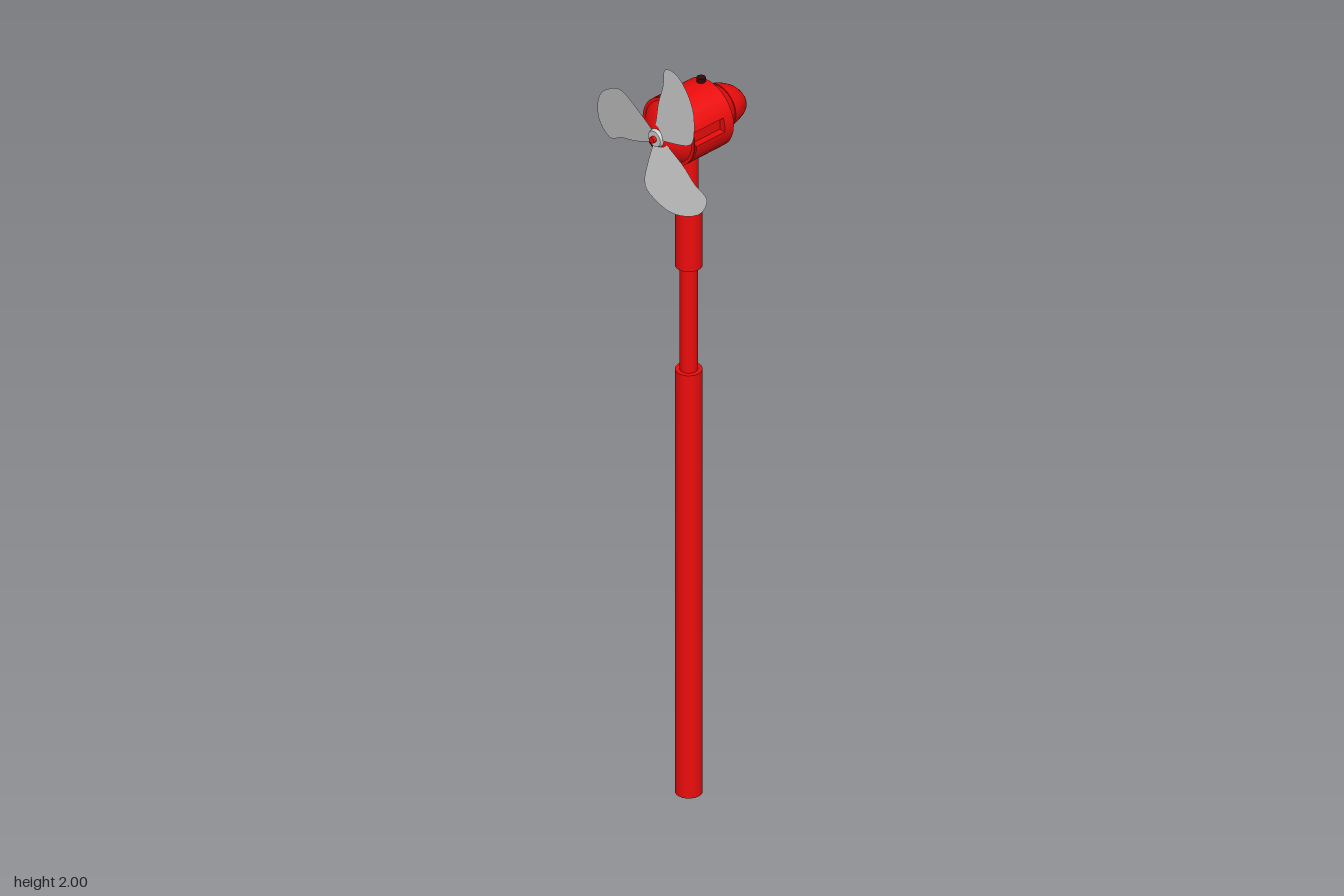
import * as THREE from 'three';
import { toCreasedNormals } from 'three/addons/utils/BufferGeometryUtils.js';

const RED = 0xee0c0c;
const HEAD_Y = 1.805;

export function createModel() {
  const model = new THREE.Group();
  model.name = 'windTurbine';
  const red = new THREE.MeshStandardMaterial({ color: RED });
  const dark = new THREE.MeshStandardMaterial({ color: 0x330808 });
  const grey = new THREE.MeshStandardMaterial({ color: 0xcccccc, side: THREE.DoubleSide });

  const add = (parent, name, geometry, material) => {
    const mesh = new THREE.Mesh(geometry, material);
    mesh.name = name;
    parent.add(mesh);
    return mesh;
  };

  // Everything shares the mast axis in z
  const mast = new THREE.Group();
  mast.name = 'mast';
  mast.position.set(-0.03, 0, 0.022);
  model.add(mast);

  // Mast sections: name, radius, bottom, top
  for (const [name, r, y0, y1] of [
    ['lowerPole', 0.032, 0, 1.14],
    ['middlePole', 0.021, 1.13, 1.43],
    ['collar', 0.032, 1.42, 1.58],
    ['upperPole', 0.023, 1.57, 1.74],
  ]) {
    add(mast, name, new THREE.CylinderGeometry(r, r, y1 - y0, 20), red).position.y = (y0 + y1) / 2;
  }

  // Turbine head, with its axis along x
  const head = new THREE.Group();
  head.name = 'head';
  head.position.set(0, HEAD_Y, 0.02);
  model.add(head);

  // Turn a profile of [x, radius] around the x axis
  const turned = (profile) => {
    const points = profile.map(([x, r]) => new THREE.Vector2(r, x));
    return toCreasedNormals(new THREE.LatheGeometry(points, 32).rotateZ(-Math.PI / 2), 0.6);
  };

  add(head, 'frontDome', turned([
    [-0.13, 0], [-0.13, 0.024], [-0.12, 0.046], [-0.107, 0.065], [-0.093, 0.077],
    [-0.093, 0.085], [-0.09, 0.085], [-0.09, 0.077], [-0.084, 0.077],
  ]), red);

  // Main housing with a lengthwise slot cut in its front side
  const R = 0.085, slotTop = 0.03, slotBottom = -0.005, slotDepth = 0.068;
  const section = new THREE.Shape();
  section.absarc(0, 0, R, Math.PI + Math.asin(-slotBottom / R), 3 * Math.PI - Math.asin(slotTop / R), false);
  section.lineTo(-slotDepth, slotTop);
  section.lineTo(-slotDepth, slotBottom);
  section.closePath();
  const housing = new THREE.ExtrudeGeometry(section, { depth: 0.09, bevelEnabled: false, curveSegments: 32 });
  housing.rotateY(Math.PI / 2).translate(-0.085, 0, 0);
  add(head, 'slottedHousing', toCreasedNormals(housing, 0.6), red);

  add(head, 'rearHousing', turned([
    [0.005, 0], [0.005, R], [0.033, R], [0.033, 0.073], [0.069, 0.052], [0.069, 0],
  ]), red);

  // Tail cone, drooping towards its tip
  const tail = turned([
    [0.069, 0], [0.069, 0.055], [0.085, 0.0515], [0.1, 0.046], [0.115, 0.039],
    [0.127, 0.03], [0.137, 0.019], [0.143, 0.008], [0.145, 0],
  ]);
  const tp = tail.attributes.position;
  for (let i = 0; i < tp.count; i++) {
    const t = (tp.getX(i) - 0.069) / 0.076;
    tp.setY(i, tp.getY(i) - 0.016 * t * t);
  }
  add(head, 'tailCone', tail, red);

  // Small knob on the roof
  add(head, 'knob', new THREE.CylinderGeometry(0.011, 0.011, 0.022, 8), dark).position.set(0.018, 0.085, -0.007);

  // Propeller: hub, axle cap and three pitched blades
  const propeller = new THREE.Group();
  propeller.name = 'propeller';
  propeller.position.x = -0.133;
  head.add(propeller);
  add(propeller, 'hub', new THREE.CylinderGeometry(0.02, 0.024, 0.01, 16).rotateZ(Math.PI / 2), grey);
  add(propeller, 'axleCap', new THREE.CylinderGeometry(0.008, 0.008, 0.014, 12).rotateZ(Math.PI / 2), red).position.x = -0.007;

  const outline = new THREE.Shape();
  outline.moveTo(0.01, 0.015);
  outline.splineThru([
    [0.05, 0.052], [0.09, 0.083], [0.122, 0.085], [0.172, 0.05], [0.194, 0.004],
    [0.195, -0.046], [0.166, -0.08], [0.125, -0.06], [0.075, -0.046], [0.01, -0.015],
  ].map(([u, v]) => new THREE.Vector2(u, v)));
  outline.closePath();
  const blade = new THREE.ShapeGeometry(outline, 3);
  const bp = blade.attributes.position;
  for (let i = 0; i < bp.count; i++) {
    const u = bp.getX(i), v = bp.getY(i);
    bp.setXYZ(i, 0.003 - 0.155 * v, v, -u);
  }
  blade.computeVertexNormals();
  for (let i = 0; i < 3; i++) {
    add(propeller, 'blade', blade, grey).rotation.x = (i * 2 * Math.PI) / 3;
  }

  return model;
}
